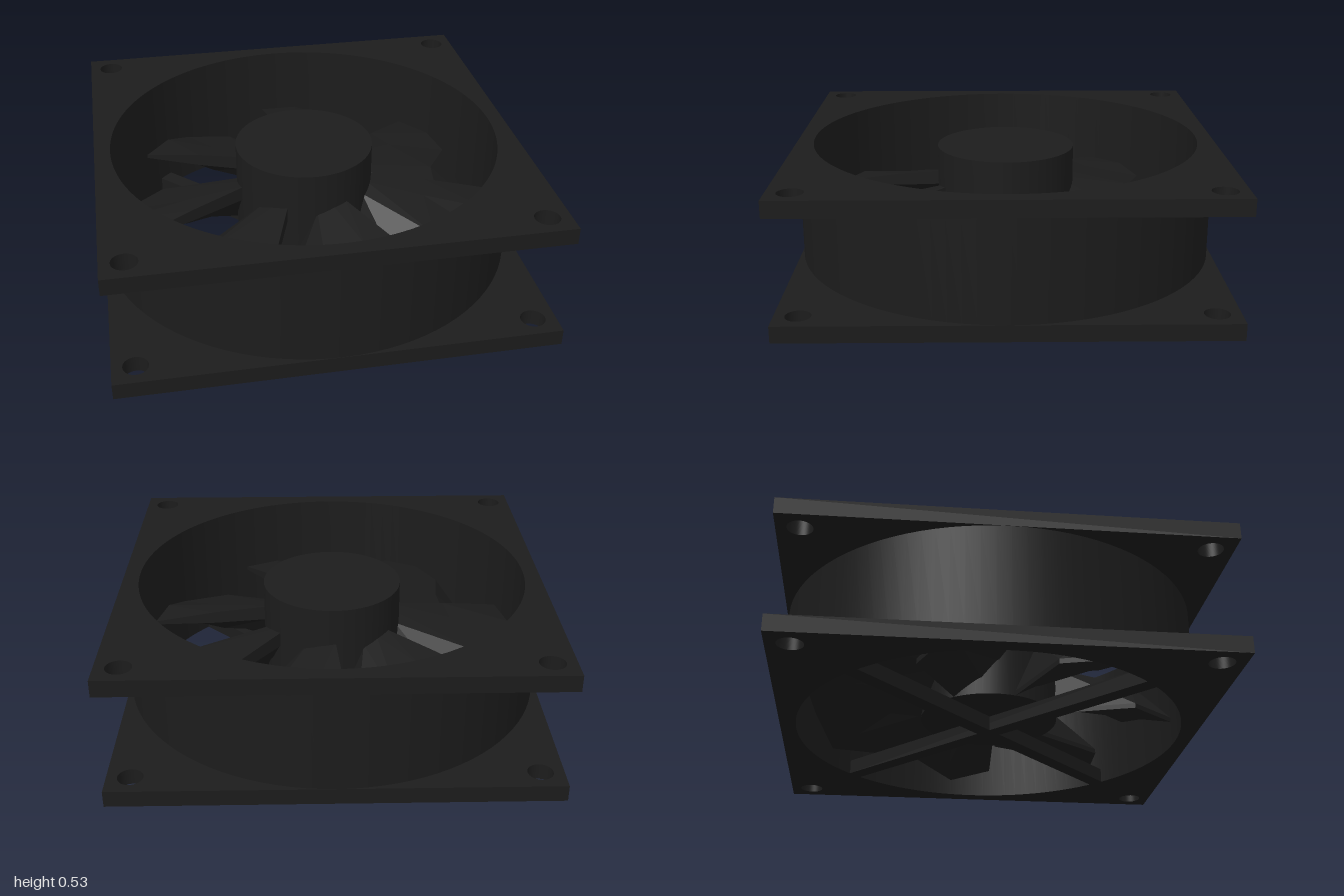
import * as THREE from 'three';

const HEIGHT = 0.53, FLANGE = 0.065, HALF = 0.843;
const BORE = 0.78, TUBE = 0.842, BLADES = 7;

// Square plate with the large bore and four screw holes
function flangeGeometry() {
  const s = new THREE.Shape();
  s.moveTo(-HALF, -HALF);
  s.lineTo(HALF, -HALF);
  s.lineTo(HALF, HALF);
  s.lineTo(-HALF, HALF);
  s.closePath();
  const hole = (x, y, r) => {
    const p = new THREE.Path();
    p.absarc(x, y, r, 0, Math.PI * 2, true);
    s.holes.push(p);
  };
  hole(0, 0, BORE);
  for (const x of [-0.754, 0.754]) for (const y of [-0.754, 0.754]) hole(x, y, 0.048);
  const g = new THREE.ExtrudeGeometry(s, { depth: FLANGE, bevelEnabled: false, curveSegments: 96 });
  return g.rotateX(-Math.PI / 2);
}

// Faceted blade: rows run from leading to trailing edge, each with root,
// middle and tip as [radius, angle in degrees, top height, bottom height].
// The top is nearly level, then drops steeply to the trailing edge.
function bladeGeometry() {
  const rows = [
    [[0.265, 10, 0.35, 0.29], [0.5, 8, 0.31, 0.26], [0.757, 7, 0.255, 0.24]],
    [[0.265, 22, 0.34, 0.21], [0.5, 20, 0.295, 0.18], [0.757, 19, 0.255, 0.20]],
    [[0.265, 36, 0.32, 0.13], [0.6, 39, 0.24, 0.09], [0.75, 28, 0.22, 0.15]],
    [[0.265, 60, 0.08, 0.06], [0.605, 56.5, 0.08, 0.06], [0.753, 42.5, 0.08, 0.06]],
  ];
  const toPoint = (r, deg, y) => {
    const a = THREE.MathUtils.degToRad(deg);
    return [r * Math.sin(a), y, -r * Math.cos(a)];
  };
  const top = (i, j) => toPoint(rows[i][j][0], rows[i][j][1], rows[i][j][2]);
  const low = (i, j) => toPoint(rows[i][j][0], rows[i][j][1], rows[i][j][3]);
  const pos = [];
  const quad = (a, b, c, d) => pos.push(...a, ...b, ...c, ...a, ...c, ...d);
  for (let i = 0; i < 3; i++) {
    for (let j = 0; j < 2; j++) {
      quad(top(i, j), top(i + 1, j), top(i + 1, j + 1), top(i, j + 1));
      quad(low(i, j), low(i, j + 1), low(i + 1, j + 1), low(i + 1, j));
    }
    // tip wall
    quad(top(i, 2), top(i + 1, 2), low(i + 1, 2), low(i, 2));
  }
  // leading and trailing walls
  for (let j = 0; j < 2; j++) {
    quad(top(0, j), top(0, j + 1), low(0, j + 1), low(0, j));
    quad(top(3, j + 1), top(3, j), low(3, j), low(3, j + 1));
  }
  const g = new THREE.BufferGeometry();
  g.setAttribute('position', new THREE.Float32BufferAttribute(pos, 3));
  g.computeVertexNormals();
  return g;
}

export function createModel() {
  const black = new THREE.MeshStandardMaterial({ color: 0x1c1c1c });
  black.name = 'black plastic';
  const model = new THREE.Group();
  model.name = 'coolingFan';
  const add = (parent, geometry, name) => {
    const m = new THREE.Mesh(geometry, black);
    m.name = name;
    parent.add(m);
    return m;
  };

  // Housing, turned slightly about the vertical axis
  const housing = new THREE.Group();
  housing.name = 'housing';
  housing.rotation.y = -THREE.MathUtils.degToRad(12);
  model.add(housing);
  const flange = flangeGeometry();
  add(housing, flange, 'bottomFlange');
  add(housing, flange, 'topFlange').position.y = HEIGHT - FLANGE;

  // Tube between the flanges; the inner wall lines the whole bore
  const wall = (r, y0, y1) =>
    new THREE.LatheGeometry([new THREE.Vector2(r, y0), new THREE.Vector2(r, y1)], 96);
  add(housing, wall(TUBE, FLANGE, HEIGHT - FLANGE), 'tubeOuterWall');
  add(housing, wall(BORE - 0.001, HEIGHT, 0), 'tubeInnerWall');

  // Crossed struts under the hub
  for (const side of [-1, 1]) {
    const strut = add(housing, new THREE.BoxGeometry(1.56, 0.06, 0.065), 'strut');
    strut.position.y = 0.03;
    strut.rotation.y = side * Math.PI / 4;
  }

  // Rotor: hub and blades
  const rotor = new THREE.Group();
  rotor.name = 'rotor';
  model.add(rotor);
  add(rotor, new THREE.CylinderGeometry(0.279, 0.279, 0.435, 64), 'hub').position.y = 0.2775;
  const blade = bladeGeometry();
  for (let i = 0; i < BLADES; i++) {
    add(rotor, blade, 'blade').rotation.y = -i * Math.PI * 2 / BLADES;
  }
  return model;
}
